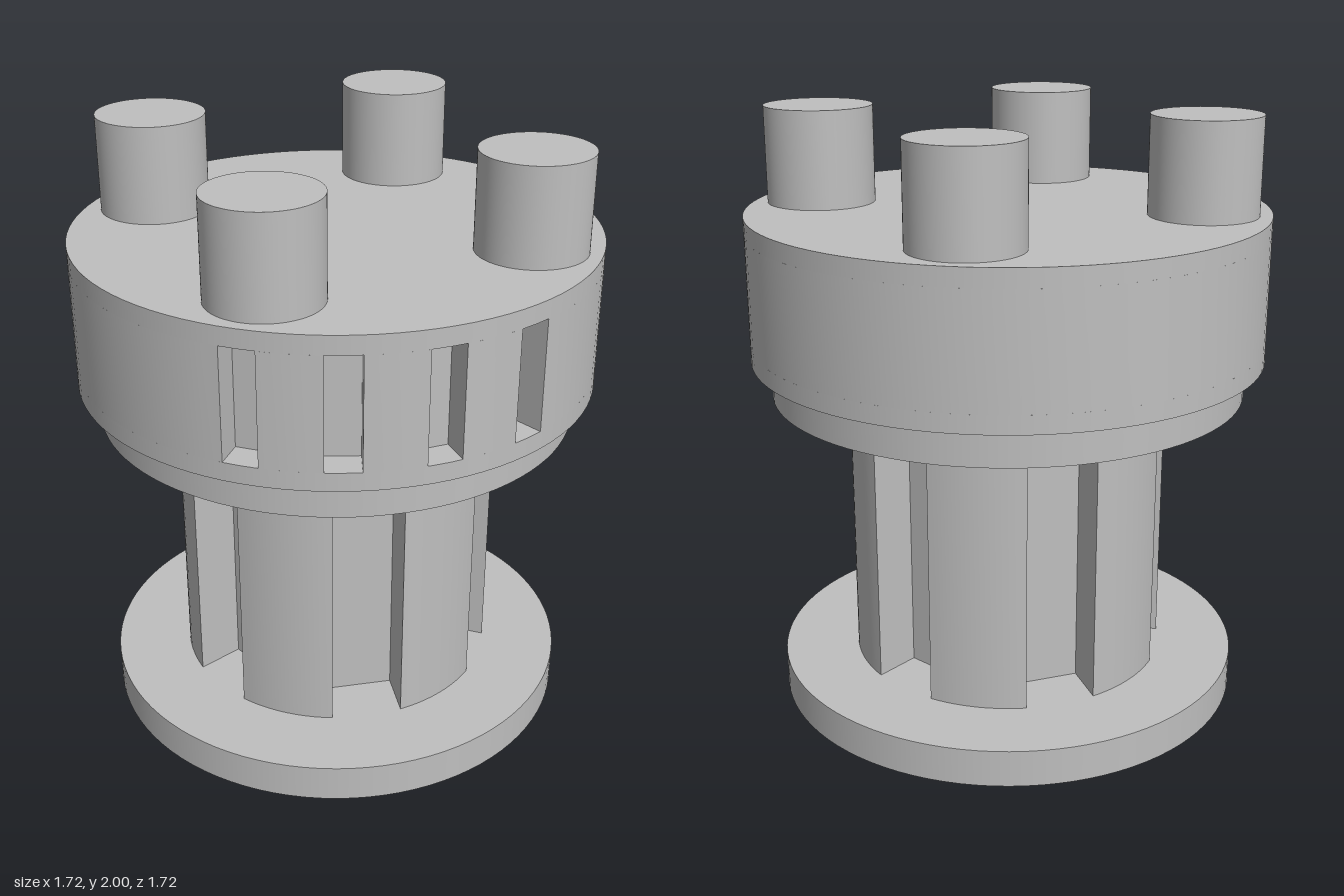
import * as THREE from 'three';
import { toCreasedNormals } from 'three/addons/utils/BufferGeometryUtils.js';

const SEGMENTS = 96;

// Disc outline with straight-sided, flat-floored notches; angles run from +z towards +x.
function notchedDisc(radius, angles, halfWidth, floor, y0, y1) {
  const points = [];
  const half = Math.asin(halfWidth / radius);
  const floorHalf = Math.atan2(halfWidth, floor);
  const floorRadius = Math.hypot(halfWidth, floor);
  const add = (r, a) => points.push(new THREE.Vector2(r * Math.sin(a), -r * Math.cos(a)));
  angles.forEach((a, i) => {
    add(radius, a - half);
    add(floorRadius, a - floorHalf);
    add(floorRadius, a + floorHalf);
    // Rim arc to the next notch
    const next = i + 1 < angles.length ? angles[i + 1] : angles[0] + Math.PI * 2;
    const start = a + half, end = next - half;
    const steps = Math.max(4, Math.ceil((end - start) / (Math.PI * 2) * SEGMENTS));
    for (let s = 0; s < steps; s++) add(radius, start + (end - start) * s / steps);
  });
  const geometry = new THREE.ExtrudeGeometry(new THREE.Shape(points), {
    depth: y1 - y0, bevelEnabled: false,
  });
  geometry.rotateX(-Math.PI / 2).translate(0, y0, 0);
  return toCreasedNormals(geometry, Math.PI / 6);
}

function disc(radius, y0, y1) {
  return new THREE.CylinderGeometry(radius, radius, y1 - y0, SEGMENTS).translate(0, (y0 + y1) / 2, 0);
}

export function createModel() {
  const model = new THREE.Group();
  model.name = 'slottedSpool';
  const grey = new THREE.MeshStandardMaterial({ color: 0xbfbfbf });
  grey.name = 'grey';
  const add = (name, geometry, parent = model) => {
    const mesh = new THREE.Mesh(geometry, grey);
    mesh.name = name;
    parent.add(mesh);
    return mesh;
  };
  const rad = THREE.MathUtils.degToRad;

  // Base flange and the column with six lengthwise grooves
  add('baseFlange', disc(0.795, 0, 0.125));
  const grooves = [30, 90, 150, 210, 270, 330].map(rad);
  add('groovedColumn', notchedDisc(0.54, grooves, 0.118, 0.367, 0.125, 1.07));
  add('upperFlange', disc(0.795, 1.07, 1.195));

  // Head drum: solid rims around a band with four window recesses
  const head = new THREE.Group();
  head.name = 'head';
  model.add(head);
  add('headLowerRim', disc(0.86, 1.195, 1.255), head);
  add('headSlotBand', notchedDisc(0.86, [0, 20, 40, 60].map(rad), 0.055, 0.758, 1.255, 1.62), head);
  add('headUpperRim', disc(0.86, 1.62, 1.68), head);

  // Four pegs on top
  for (let i = 0; i < 4; i++) {
    const a = i * Math.PI / 2;
    const peg = add('peg' + (i + 1), disc(0.18, 1.68, 2));
    peg.position.set(0.638 * Math.sin(a), 0, 0.638 * Math.cos(a));
  }
  return model;
}
